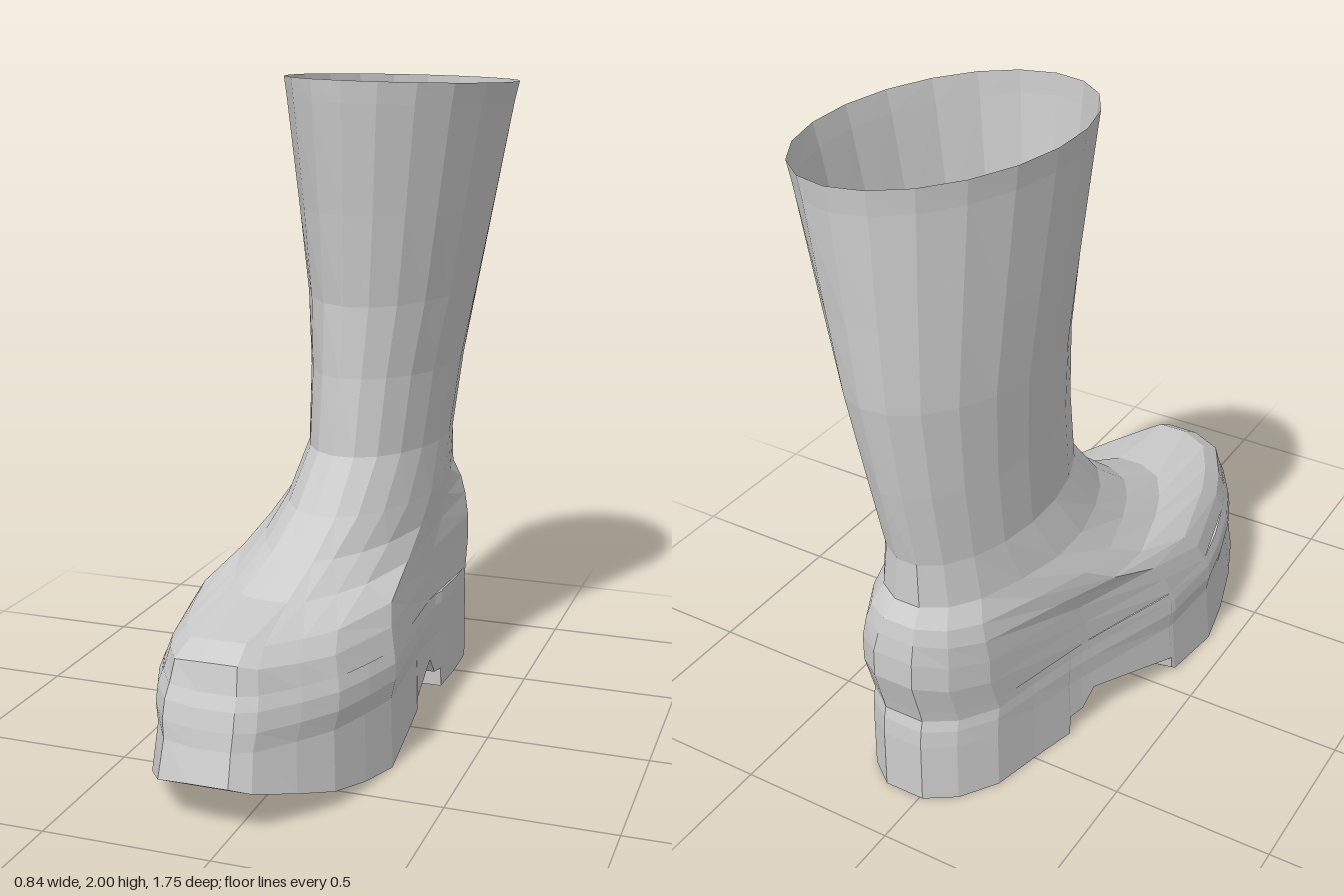
import * as THREE from 'three';

const material = new THREE.MeshStandardMaterial({ color: 0xcccccc, flatShading: true, side: THREE.DoubleSide });
const lerp = THREE.MathUtils.lerp;

// Footprint stations from toe to heel:
// z, x on the right, x on the left, height of the underside, z shift on the left (slanted tread step)
const footprint = [
  [0.875, -0.12, 0.0, 0.145, 0], [0.84, -0.225, 0.055, 0.125, 0], [0.72, -0.3, 0.14, 0.085, 0],
  [0.6, -0.35, 0.21, 0.048, 0], [0.45, -0.392, 0.252, 0.018, 0], [0.3, -0.42, 0.285, 0, 0],
  [0.085, -0.4, 0.265, 0.013, 0], [0.07, -0.395, 0.25, 0.025, -0.145], [0.065, -0.395, 0.25, 0.068, -0.145],
  [-0.25, -0.28, 0.24, 0.13, 0], [-0.295, -0.265, 0.242, 0.07, 0], [-0.345, -0.25, 0.25, 0.065, 0],
  [-0.35, -0.25, 0.25, 0, 0], [-0.5, -0.21, 0.255, 0, 0], [-0.65, -0.175, 0.25, 0, 0],
  [-0.76, -0.1, 0.2, 0, 0], [-0.82, -0.01, 0.12, 0, 0],
];
const Z_TOE = 0.875, Z_HEEL = -0.82;
const coarse = [0, 1, 2, 3, 5, 6, 9, 14, 15, 16].map((i) => footprint[i]);

// One ring of points, right side toe to heel, then left side back to the toe.
// b blends the footprint (0, scaled by s at the toe and sb at the heel)
// into an ellipse (1, centre cx, half width hw).
function ring(stations, { zf, zb, yf, yb, s = 1, sb = 1, b = 0, cx = 0, hw = 0, sag = 0, twist = 0, tilt = 0, under = false }) {
  const n = stations.length, right = [], left = [];
  stations.forEach(([z, xr, xl, y, shift], k) => {
    const a = (Math.PI * (k + 0.5)) / n;
    const t = lerp((z - Z_HEEL) / (Z_TOE - Z_HEEL), (1 + Math.cos(a)) / 2, b);
    const mid = (xr + xl) / 2, half = ((xl - xr) / 2) * lerp(sb, s, t);
    for (const [side, list] of [[-1, right], [1, left]]) {
      const x = lerp(mid + side * half, cx + side * hw * Math.sin(a), b);
      const py = under ? y : lerp(yb, yf, t) - sag * Math.sin(a) - tilt * (x - cx);
      list.push([x, py, lerp(zb, zf, t) - twist * (x - cx) + (side > 0 ? shift : 0)]);
    }
  });
  return [...right, ...left.reverse()];
}

// Skins a stack of rings; cap also closes the bottom with strips from side to side
function loft(name, rings, cap = false) {
  const m = rings[0].length, index = [];
  for (let r = 0; r < rings.length - 1; r++) {
    for (let i = 0; i < m; i++) {
      const j = (i + 1) % m, a = r * m, c = a + m;
      index.push(a + i, c + j, a + j, a + i, c + i, c + j);
    }
  }
  if (cap) {
    for (let k = 0; k < m / 2 - 1; k++) {
      const l = m - 1 - k;
      index.push(k, k + 1, l - 1, k, l - 1, l);
    }
  }
  const geometry = new THREE.BufferGeometry();
  geometry.setAttribute('position', new THREE.Float32BufferAttribute(rings.flat(2), 3));
  geometry.setIndex(index);
  geometry.computeVertexNormals();
  const mesh = new THREE.Mesh(geometry, material);
  mesh.name = name;
  return mesh;
}

export function createModel() {
  const group = new THREE.Group();
  group.name = 'boot';

  // Rings shared by neighbouring parts
  const welt = { zf: 0.8, zb: -0.81, yf: 0.385, yb: 0.33, sag: 0.015, s: 0.95 };
  const ankle = { zf: 0.01, zb: -0.785, yf: 0.86, yb: 0.84, b: 1, cx: 0.028, hw: 0.212 };
  const collar = { zf: 0.04, zb: -0.87, yf: 1.93, yb: 1.915, b: 1, cx: 0.082, hw: 0.328, twist: 0.2, tilt: 0.03 };

  // Thick sole with toe spring, slanted tread step, arch, heel block and welt
  group.add(loft('sole', [
    { zf: 0.875, zb: -0.82, under: true },
    { zf: 0.845, zb: -0.815, yf: 0.24, yb: 0.2, sag: 0.02, s: 0.95 },
    { zf: 0.835, zb: -0.81, yf: 0.29, yb: 0.255, sag: 0.01 },
    { zf: 0.82, zb: -0.8, yf: 0.345, yb: 0.29, sag: 0.01, s: 0.99 },
    welt,
  ].map((p) => ring(footprint, p)), true));

  // Toe box, instep and heel counter
  group.add(loft('foot', [
    welt,
    { zf: 0.78, zb: -0.842, yf: 0.47, yb: 0.45, sag: 0.05, s: 0.88 },
    { zf: 0.71, zb: -0.842, yf: 0.51, yb: 0.54, sag: 0.05, s: 0.79, sb: 1.02, b: 0.05, cx: 0, hw: 0.26 },
    { zf: 0.42, zb: -0.835, yf: 0.525, yb: 0.6, sag: 0.02, s: 0.68, sb: 1.02, b: 0.25, cx: 0.01, hw: 0.25 },
    { zf: 0.25, zb: -0.825, yf: 0.6, yb: 0.65, sag: 0.01, s: 0.6, sb: 1.02, b: 0.5, cx: 0.02, hw: 0.24 },
    { zf: 0.13, zb: -0.79, yf: 0.7, yb: 0.7, s: 0.6, b: 0.8, cx: 0.025, hw: 0.225 },
    ankle,
  ].map((p) => ring(coarse, p))));

  // Flaring leg
  group.add(loft('shaft', [
    ankle,
    { zf: -0.02, zb: -0.825, yf: 1.1, yb: 1.08, b: 1, cx: 0.038, hw: 0.224, twist: 0.05 },
    { zf: -0.03, zb: -0.86, yf: 1.32, yb: 1.36, b: 1, cx: 0.053, hw: 0.252, twist: 0.1 },
    { zf: 0.0, zb: -0.865, yf: 1.6, yb: 1.6, b: 1, cx: 0.067, hw: 0.286, twist: 0.15 },
    collar,
  ].map((p) => ring(coarse, p))));

  // Band round the opening
  group.add(loft('topBand', [
    collar,
    { ...collar, zf: 0.045, zb: -0.875, yf: 1.995, yb: 1.985, cx: 0.085, hw: 0.34 },
  ].map((p) => ring(coarse, p))));

  return group;
}
